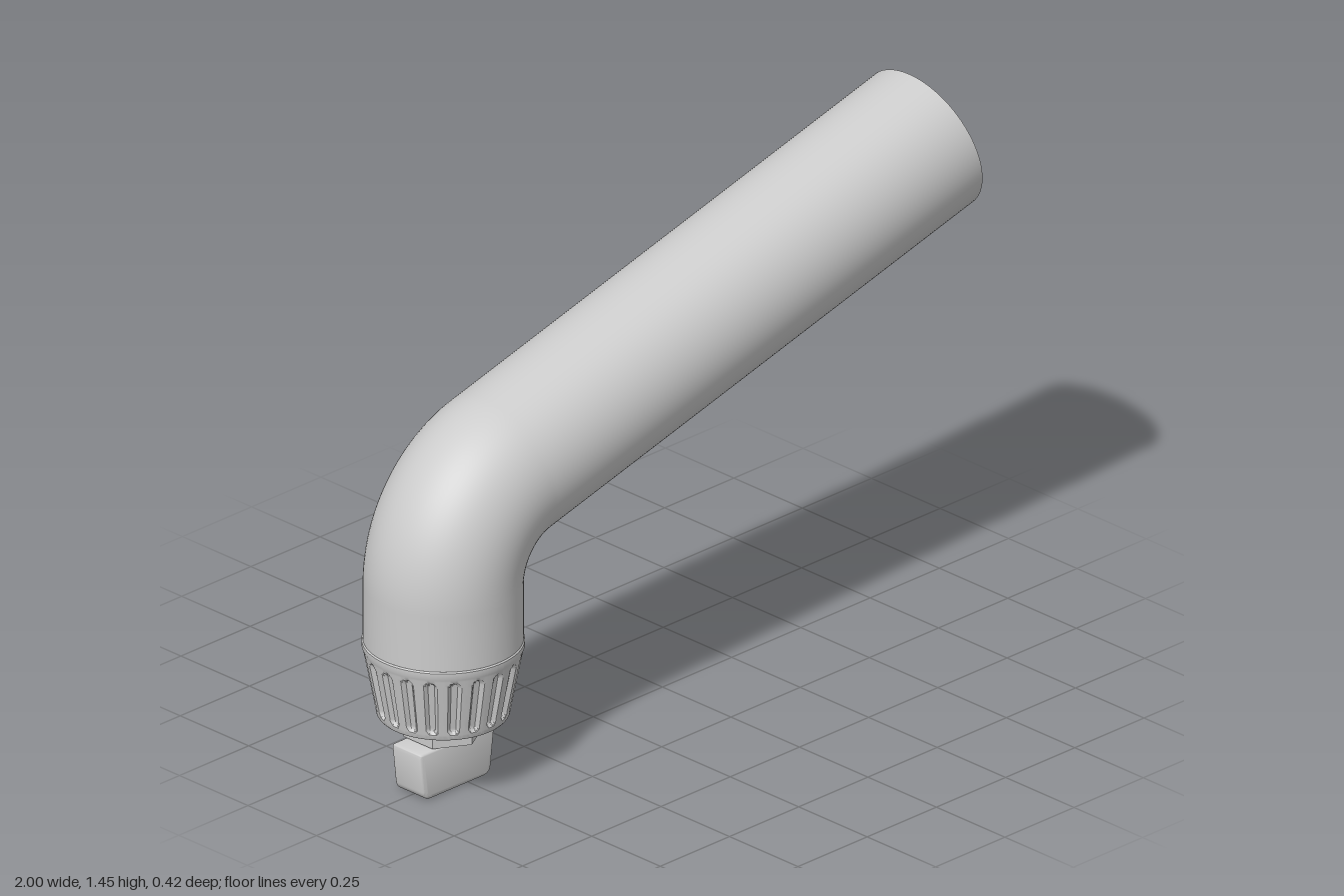
import * as THREE from 'three';
import { toCreasedNormals } from 'three/addons/utils/BufferGeometryUtils.js';

const AXIS_X = -0.792;               // vertical axis of the collar and lower pipe
const PIPE_R = 0.207, BORE_R = 0.146;
const BEND_R = 0.28, BEND_Y = 0.565; // bend radius and the height where it starts
const BEND = THREE.MathUtils.degToRad(75);
const ARM_LENGTH = 1.583;
const FLUTES = 20;

const material = new THREE.MeshStandardMaterial({ color: 0xcccccc });

function part(name, geometry, parent, x = AXIS_X, y = 0, z = 0) {
  const mesh = new THREE.Mesh(geometry, material);
  mesh.name = name;
  mesh.position.set(x, y, z);
  parent.add(mesh);
  return mesh;
}

// Centre line of the pipe: straight riser, bend, straight arm
function pipeStations() {
  const stations = [{ x: AXIS_X, y: 0.4, a: 0 }];
  const steps = 28;
  for (let i = 0; i <= steps; i++) {
    const a = (BEND * i) / steps;
    stations.push({
      x: AXIS_X + BEND_R * (1 - Math.cos(a)),
      y: BEND_Y + BEND_R * Math.sin(a), a,
    });
  }
  const last = stations[stations.length - 1];
  stations.push({
    x: last.x + ARM_LENGTH * Math.sin(BEND),
    y: last.y + ARM_LENGTH * Math.cos(BEND), a: BEND,
  });
  return stations;
}

// Round skin swept along the stations, facing outward or inward
function sweep(stations, radius, inward) {
  const sides = 72, positions = [], index = [];
  stations.forEach(({ x, y, a }, i) => {
    for (let j = 0; j < sides; j++) {
      const t = (j / sides) * Math.PI * 2;
      const n = radius * Math.cos(t);
      positions.push(x - n * Math.cos(a), y + n * Math.sin(a), radius * Math.sin(t));
      if (i === 0) continue;
      const k = (j + 1) % sides;
      const p = (i - 1) * sides + j, q = (i - 1) * sides + k;
      const r = i * sides + j, s = i * sides + k;
      if (inward) index.push(p, r, q, q, r, s);
      else index.push(p, q, r, q, s, r);
    }
  });
  const geometry = new THREE.BufferGeometry();
  geometry.setAttribute('position', new THREE.Float32BufferAttribute(positions, 3));
  geometry.setIndex(index);
  geometry.computeVertexNormals();
  return geometry;
}

// Tapered collar with round-ended flutes pressed into its wall
function collarGeometry() {
  const profile = [[0, 0.225], [0.138, 0.225], [0.138, 0.197], [0.168, 0.197]];
  const rows = 32;
  for (let i = 0; i <= rows; i++) {
    const t = i / rows;
    profile.push([0.172 + 0.035 * t, 0.202 + 0.183 * t]);
  }
  profile.push([0.21, 0.392], [0.21, 0.406], [0.207, 0.41], [0, 0.41]);
  const geometry = new THREE.LatheGeometry(
    profile.map(([r, y]) => new THREE.Vector2(r, y)), FLUTES * 14);
  const pos = geometry.attributes.position;
  const pitch = (Math.PI * 2) / FLUTES, halfWidth = 0.017;
  for (let i = 0; i < pos.count; i++) {
    const x = pos.getX(i), y = pos.getY(i), z = pos.getZ(i);
    const r = Math.hypot(x, z);
    if (r < 0.171) continue;
    const angle = Math.atan2(x, z);
    const across = (angle - Math.round(angle / pitch) * pitch) * r;
    const along = Math.max(0, y - 0.36, 0.23 - y);
    const d = Math.hypot(across, along);
    const depth = 0.011 * (1 - THREE.MathUtils.smoothstep(d, halfWidth * 0.5, halfWidth));
    pos.setX(i, x * (1 - depth / r));
    pos.setZ(i, z * (1 - depth / r));
  }
  return toCreasedNormals(geometry, 0.6);
}

// Flat thumb grip: tapered outline with rounded lower corners
function gripGeometry() {
  const s = new THREE.Shape();
  s.moveTo(-0.122, 0.135);
  s.lineTo(0.122, 0.135);
  s.quadraticCurveTo(0.134, 0.135, 0.133, 0.122);
  s.lineTo(0.122, 0.025);
  s.quadraticCurveTo(0.119, 0, 0.092, 0);
  s.lineTo(-0.092, 0);
  s.quadraticCurveTo(-0.119, 0, -0.122, 0.025);
  s.lineTo(-0.133, 0.122);
  s.quadraticCurveTo(-0.134, 0.135, -0.122, 0.135);
  const bevel = 0.01, depth = 0.11;
  const geometry = new THREE.ExtrudeGeometry(s, {
    depth: depth - 2 * bevel, curveSegments: 8,
    bevelThickness: bevel, bevelSize: bevel, bevelOffset: -bevel, bevelSegments: 4,
  });
  geometry.translate(0, 0, -depth / 2 + bevel);
  return toCreasedNormals(geometry, 0.6);
}

export function createModel() {
  const model = new THREE.Group();
  model.name = 'bentPipeWithValve';

  // Hollow bent pipe
  const pipe = new THREE.Group();
  pipe.name = 'pipe';
  model.add(pipe);
  const stations = pipeStations();
  part('pipeOuterWall', sweep(stations, PIPE_R, false), pipe, 0);
  part('pipeBore', sweep(stations, BORE_R, true), pipe, 0);
  const end = stations[stations.length - 1];
  const rim = new THREE.RingGeometry(BORE_R, PIPE_R, 72);
  rim.rotateY(Math.PI / 2).rotateZ(Math.PI / 2 - BEND);
  part('pipeRim', rim, pipe, end.x, end.y);

  // Fluted collar with a ring of small studs underneath
  part('collar', collarGeometry(), model);
  const studs = new THREE.Group();
  studs.name = 'collarStuds';
  model.add(studs);
  const stud = new THREE.SphereGeometry(0.006, 10, 6);
  for (let i = 0; i < FLUTES; i++) {
    const a = (i / FLUTES) * Math.PI * 2;
    part('stud', stud, studs, AXIS_X + 0.15 * Math.sin(a), 0.198, 0.15 * Math.cos(a));
  }

  // Hexagonal nut, neck and thumb grip
  const nut = new THREE.CylinderGeometry(0.105, 0.105, 0.1, 6).toNonIndexed();
  nut.computeVertexNormals();
  part('hexNut', nut, model, AXIS_X, 0.19);
  part('neck', new THREE.CylinderGeometry(0.045, 0.045, 0.04, 32), model, AXIS_X, 0.135);
  part('thumbGrip', gripGeometry(), model);

  return model;
}
